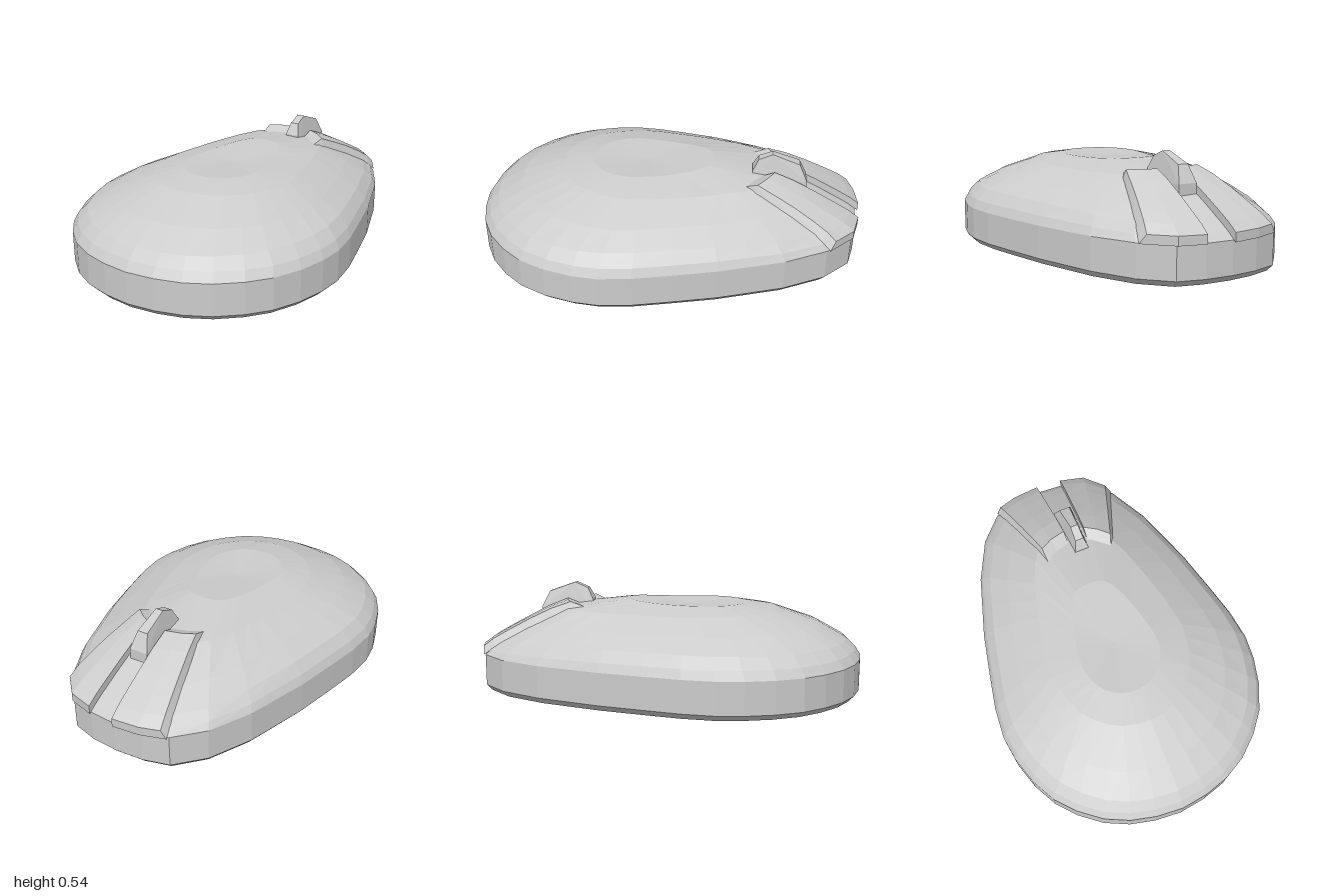
import * as THREE from 'three';

const grey = () => new THREE.MeshStandardMaterial({ color: 0xcccccc, flatShading: true });
const lerp = THREE.MathUtils.lerp;

function makeMesh(name, positions, index) {
  const g = new THREE.BufferGeometry();
  g.setAttribute('position', new THREE.Float32BufferAttribute(positions, 3));
  g.setIndex(index);
  g.computeVertexNormals();
  const m = new THREE.Mesh(g, grey());
  m.name = name;
  return m;
}

// Half of the egg-shaped plan outline (x, z), rear to nose
const half = [
  [0, 0.99], [0.14, 0.975], [0.27, 0.94], [0.39, 0.88], [0.5, 0.79], [0.585, 0.69],
  [0.65, 0.56], [0.69, 0.42], [0.705, 0.29], [0.69, 0.13], [0.65, -0.06], [0.6, -0.28],
  [0.55, -0.44], [0.5, -0.6], [0.395, -0.81], [0.27, -0.94], [0.14, -0.975], [0, -0.985],
];
const outline = [...half, ...half.slice(1, -1).reverse().map(([x, z]) => [-x, z])];

// Shell rings: x scale, z scale, z shift, height at +z end, at the sides, at -z end
const rings = [
  [0.96, 0.972, 0, 0, 0, 0],
  [1, 1, 0, 0.03, 0.03, 0.03],
  [1, 1, 0, 0.19, 0.19, 0.19],
  [0.97, 0.97, 0, 0.235, 0.235, 0.215],
  [0.9, 0.92, 0, 0.28, 0.29, 0.245],
  [0.745, 0.785, 0, 0.355, 0.35, 0.32],
  [0.51, 0.575, -0.01, 0.43, 0.42, 0.422],
  [0.29, 0.315, 0.085, 0.455, 0.455, 0.47],
];

function makeShell() {
  const n = outline.length, pos = [], idx = [];
  for (const [sx, sz, dz, yBack, ySide, yNose] of rings)
    for (const [x, z] of outline)
      pos.push(x * sx, lerp(ySide, z > 0 ? yBack : yNose, z * z), z * sz + dz);
  for (let r = 0; r < rings.length - 1; r++)
    for (let i = 0; i < n; i++) {
      const j = (i + 1) % n, a = r * n + i, b = r * n + j;
      idx.push(a, b, b + n, a, b + n, a + n);
    }
  // Slightly dished crown and flat base
  const crown = pos.length / 3, base = crown + 1, last = (rings.length - 1) * n;
  pos.push(0, 0.443, 0.12, 0, 0, 0);
  for (let i = 0; i < n; i++) {
    const j = (i + 1) % n;
    idx.push(last + i, last + j, crown, j, i, base);
  }
  return makeMesh('shell', pos, idx);
}

// Raised button plate that follows the shell; edges run in +x order
function makeButton(name, rear, front, columns, heightAt) {
  const rows = [[0, 0], [0.16, 1], [0.35, 1], [0.55, 1], [0.75, 1], [0.9, 1], [1, 1], [1, 0]];
  const pos = [], idx = [], n = columns.length;
  const along = (edge, t) => {
    const k = t < 0.5 ? 0 : 1, f = t * 2 - k;
    return [0, 1].map((c) => lerp(edge[k][c], edge[k + 1][c], f));
  };
  for (const [s, rowLift] of rows)
    for (const [t, colLift] of columns) {
      const a = along(rear, t), b = along(front, t);
      const x = lerp(a[0], b[0], s), z = lerp(a[1], b[1], s);
      pos.push(x, heightAt(x, z) + (rowLift * colLift ? 0.032 : -0.012), z);
    }
  for (let r = 0; r < rows.length - 1; r++)
    for (let c = 0; c < n - 1; c++) {
      const a = r * n + c;
      idx.push(a, a + 1, a + n + 1, a, a + n + 1, a + n);
    }
  return makeMesh(name, pos, idx);
}

// Faceted scroll wheel, narrowing towards its top
function makeWheel() {
  const profile = [[0.43, 0.38], [0.71, 0.34], [0.71, 0.405], [0.67, 0.49], [0.53, 0.54], [0.46, 0.51], [0.43, 0.45]];
  const shape = new THREE.Shape(profile.map(([x, y]) => new THREE.Vector2(x, y)));
  const g = new THREE.ExtrudeGeometry(shape, { depth: 0.1, bevelEnabled: false });
  g.rotateY(Math.PI / 2);
  const p = g.attributes.position;
  for (let i = 0; i < p.count; i++) {
    const k = 1 - 0.6 * THREE.MathUtils.clamp((p.getY(i) - 0.4) / 0.12, 0, 1);
    p.setX(i, 0.05 + (p.getX(i) - 0.05) * k);
  }
  g.computeVertexNormals();
  const wheel = new THREE.Mesh(g, grey());
  wheel.name = 'scrollWheel';
  return wheel;
}

export function createModel() {
  const group = new THREE.Group();
  group.name = 'computerMouse';
  const shell = makeShell();

  // Shell height under a point, sampled just inside the rim
  const ray = new THREE.Raycaster();
  const down = new THREE.Vector3(0, -1, 0);
  const heightAt = (x, z) => {
    ray.set(new THREE.Vector3(x * 0.98 + 1e-4, 2, z * 0.98), down);
    const hit = ray.intersectObject(shell)[0];
    return hit ? hit.point.y : 0.19;
  };

  // Buttons: the outer edge is bevelled, the edge beside the wheel is upright
  const buttonA = makeButton('buttonRight',
    [[-0.14, -0.42], [-0.07, -0.46], [0, -0.48]],
    [[-0.265, -0.952], [-0.14, -0.988], [0, -1]],
    [[0, 0], [0.1, 1], [0.5, 1], [1, 1], [1, 0]], heightAt);
  const buttonB = makeButton('buttonLeft',
    [[0.1, -0.46], [0.15, -0.42], [0.21, -0.37]],
    [[0.14, -0.985], [0.27, -0.95], [0.39, -0.828]],
    [[0, 0], [0, 1], [0.5, 1], [0.9, 1], [1, 0]], heightAt);

  group.add(shell, buttonA, buttonB, makeWheel());
  return group;
}
